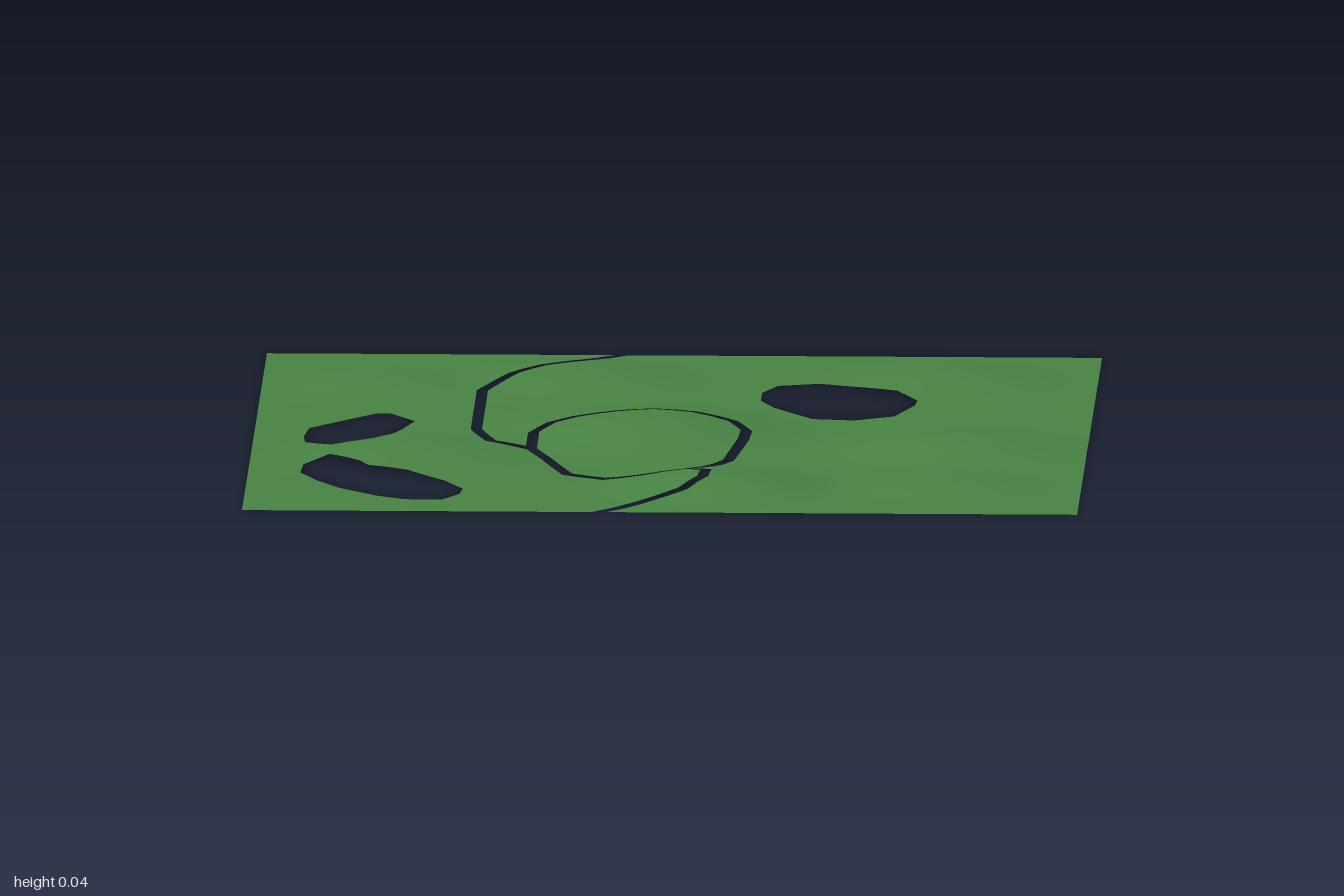
import * as THREE from 'three';
import { mergeVertices } from 'three/addons/utils/BufferGeometryUtils.js';

const HALF_PATH = 0.0135;
const MAX_EDGE = 0.08;

// Centre lines of the footpaths, as [x, z]
const northPath = [[-0.15, -1], [-0.33, -0.82], [-0.4, -0.71], [-0.47, -0.525], [-0.47, -0.05], [-0.43, 0.14]];
const ringEast = [[-0.33, 0.23], [-0.33, 0.05], [-0.29, -0.05], [-0.235, -0.1], [-0.05, -0.185], [0.05, -0.14],
  [0.145, -0.045], [0.18, 0.05], [0.175, 0.14], [0.145, 0.335], [0.05, 0.525]];
const ringSouth = [[-0.05, 0.575], [-0.145, 0.58], [-0.235, 0.52], [-0.29, 0.335]];
const southPath = [[0.1, 0.615], [0.095, 0.71], [0.05, 0.81], [-0.05, 0.89], [-0.145, 1]];

// Pond openings
const eastPond = [[0.235, -0.62], [0.335, -0.65], [0.385, -0.62], [0.525, -0.525], [0.575, -0.43], [0.57, -0.38],
  [0.525, -0.24], [0.43, -0.185], [0.33, -0.2], [0.235, -0.34], [0.2, -0.43], [0.2, -0.53]];
const westPond = [[-0.715, -0.24], [-0.68, -0.24], [-0.62, -0.145], [-0.67, 0.045], [-0.715, 0.135], [-0.81, 0.2],
  [-0.875, 0.135], [-0.88, 0.055], [-0.87, -0.05], [-0.81, -0.125]];
const southPond = [[-0.81, 0.33], [-0.735, 0.425], [-0.715, 0.47], [-0.62, 0.52], [-0.525, 0.615], [-0.48, 0.71],
  [-0.485, 0.775], [-0.525, 0.85], [-0.615, 0.85], [-0.685, 0.805], [-0.775, 0.71], [-0.83, 0.62],
  [-0.875, 0.515], [-0.87, 0.425]];

// Gentle hills: x, z, radius, height
const hills = [[-0.05, 0, 0.42, 0.04], [0.13, 0.69, 0.32, 0.036], [-0.22, -0.66, 0.34, 0.023],
  [0.7, 0.2, 0.36, 0.028], [-0.6, 0.3, 0.36, 0.024], [0.65, -0.68, 0.32, 0.021],
  [0.68, 0.68, 0.3, 0.018], [-0.72, -0.6, 0.3, 0.016]];

function height(x, z) {
  let y = 0;
  for (const [hx, hz, r, h] of hills) {
    const t = Math.max(0, 1 - ((x - hx) ** 2 + (z - hz) ** 2) / (r * r));
    y = Math.max(y, 0) + h * t * t;
  }
  return y;
}

// Mitred parallel of a polyline; open ends slide along the border of the plot
function offset(points, d, closed = false) {
  const n = points.length;
  const normal = (a, b) => {
    const dx = b[0] - a[0], dz = b[1] - a[1], len = Math.hypot(dx, dz);
    return [dz / len, -dx / len];
  };
  return points.map((p, i) => {
    if (!closed && (i === 0 || i === n - 1)) {
      const m = i === 0 ? normal(p, points[1]) : normal(points[n - 2], p);
      return [p[0] + d / m[0], p[1]];
    }
    const a = normal(points[(i + n - 1) % n], p), b = normal(p, points[(i + 1) % n]);
    const k = d / (1 + a[0] * b[0] + a[1] * b[1]);
    return [p[0] + k * (a[0] + b[0]), p[1] + k * (a[1] + b[1])];
  });
}

// Fill an outline, split long edges, then raise the points to the hills
function groundPiece(name, outline, ponds, material) {
  const toVectors = (pts) => pts.map(([x, z]) => new THREE.Vector2(x, -z));
  const shape = new THREE.Shape(toVectors(outline));
  ponds.forEach((pond) => shape.holes.push(new THREE.Path(toVectors(pond))));
  const flat = new THREE.ShapeGeometry(shape).rotateX(-Math.PI / 2).toNonIndexed().attributes.position;

  const positions = [];
  const split = (a, b, c) => {
    const ab = a.distanceTo(b), bc = b.distanceTo(c), ca = c.distanceTo(a);
    const longest = Math.max(ab, bc, ca);
    if (longest <= MAX_EDGE) {
      for (const v of [a, b, c]) positions.push(v.x, height(v.x, v.z), v.z);
      return;
    }
    if (longest === bc) [a, b, c] = [b, c, a];
    else if (longest === ca) [a, b, c] = [c, a, b];
    const mid = a.clone().add(b).multiplyScalar(0.5);
    split(a, mid, c);
    split(mid, b, c);
  };
  const corner = (i) => new THREE.Vector3().fromBufferAttribute(flat, i);
  for (let i = 0; i < flat.count; i += 3) split(corner(i), corner(i + 1), corner(i + 2));

  let geometry = new THREE.BufferGeometry();
  geometry.setAttribute('position', new THREE.Float32BufferAttribute(positions, 3));
  geometry = mergeVertices(geometry, 1e-5);
  geometry.computeVertexNormals();
  const mesh = new THREE.Mesh(geometry, material);
  mesh.name = name;
  return mesh;
}

export function createModel() {
  const group = new THREE.Group();
  group.name = 'parkGround';
  const grass = new THREE.MeshStandardMaterial({ color: 0x488343, side: THREE.DoubleSide });
  grass.name = 'grass green';

  const junctionA = ringEast[0], junctionB = ringEast[ringEast.length - 1];
  const westEdge = offset([...northPath, junctionA, ...[...ringSouth].reverse(), junctionB, ...southPath], -HALF_PATH);
  const eastEdge = offset([...northPath, ...ringEast, ...southPath], HALF_PATH);
  const islandEdge = offset([...ringEast, ...ringSouth], -HALF_PATH, true);

  // Three lawns separated by the path gaps
  group.add(
    groundPiece('westLawn', [...westEdge, [-1, 1], [-1, -1]], [westPond, southPond], grass),
    groundPiece('eastLawn', [...eastEdge, [1, 1], [1, -1]], [eastPond], grass),
    groundPiece('centreLawn', islandEdge, [], grass),
  );
  return group;
}
